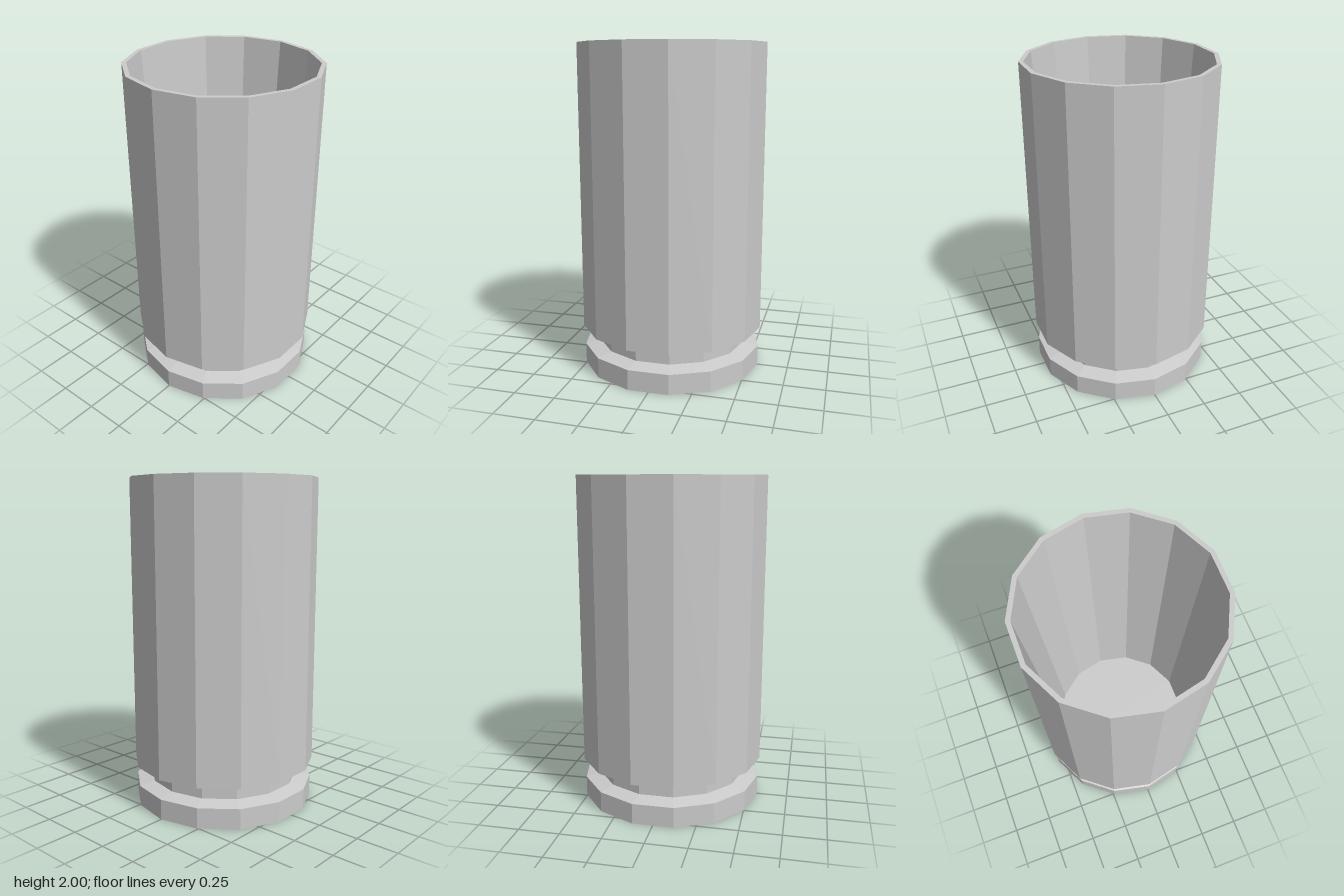
import * as THREE from 'three';

const SIDES = 14;
const material = new THREE.MeshStandardMaterial({ color: 0xcccccc, flatShading: true });

// Faceted ring or disc turned from [radius, height] pairs
function turned(name, profile) {
  const points = profile.map(([r, y]) => new THREE.Vector2(r, y));
  const mesh = new THREE.Mesh(new THREE.LatheGeometry(points, SIDES), material);
  mesh.name = name;
  return mesh;
}

export function createModel() {
  const group = new THREE.Group();
  group.name = 'cartridgeCase';

  // Recessed primer with a shallow dent in the middle
  group.add(turned('primer', [[0, 0.07], [0.09, 0.06], [0.18, 0.037], [0.4, 0.037]]));

  // Rim: recess wall, base ring, outer edge and sloped top
  group.add(turned('rim', [[0.4, 0.037], [0.4, 0], [0.56, 0], [0.56, 0.125], [0.465, 0.145]]));

  // Extractor groove and the bevel up to the body
  group.add(turned('groove', [[0.465, 0.145], [0.465, 0.21], [0.57, 0.25]]));

  // Outer wall and mouth
  group.add(turned('body', [[0.57, 0.25], [0.57, 2], [0.543, 2]]));

  // Tapered inside wall and floor
  group.add(turned('interior', [[0.543, 2], [0.432, 0.25], [0, 0.25]]));

  return group;
}
